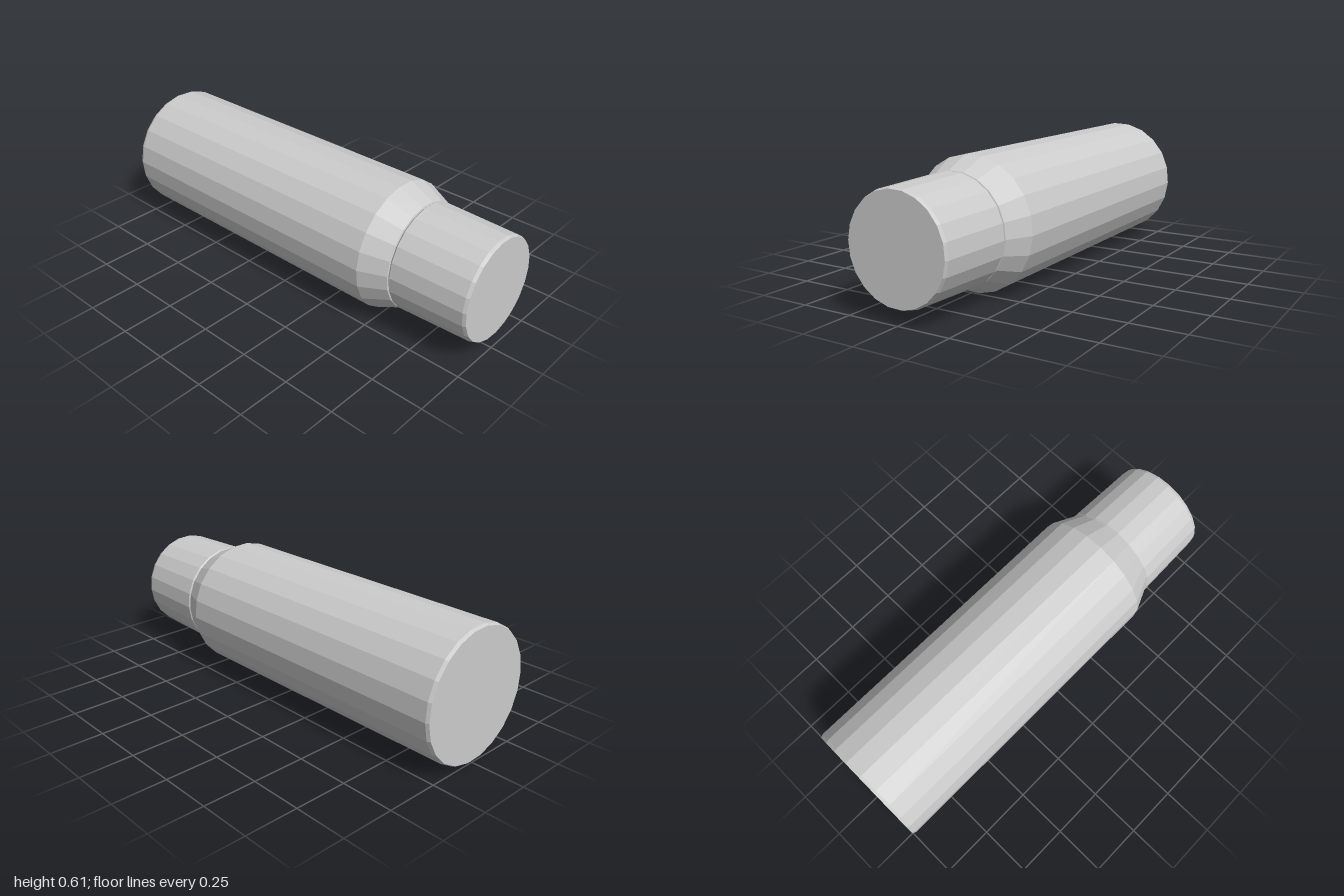
import * as THREE from 'three';

const SIDES = 22;
const AXIS_Y = 0.306;

// Faceted solid of revolution around the z axis; profile is [radius, z] from back to front
function turned(name, profile) {
  const points = profile.map(([r, z]) => new THREE.Vector2(r, z));
  const geometry = new THREE.LatheGeometry(points, SIDES, 0.1);
  geometry.rotateX(Math.PI / 2);
  const material = new THREE.MeshStandardMaterial({ color: 0xcccccc, flatShading: true });
  const mesh = new THREE.Mesh(geometry, material);
  mesh.name = name;
  mesh.position.y = AXIS_Y;
  return mesh;
}

export function createModel() {
  const group = new THREE.Group();
  group.name = 'cappedCylinder';

  // Long barrel with a tapered shoulder
  group.add(turned('body', [
    [0, -1], [0.3, -1], [0.307, -0.985], [0.307, 0.49], [0.253, 0.613], [0.24, 0.617], [0, 0.617],
  ]));

  // Slightly conical cap, set off from the shoulder by a thin seam
  group.add(turned('cap', [
    [0, 0.612], [0.242, 0.612], [0.254, 0.625], [0.244, 0.985], [0.238, 1], [0, 1],
  ]));

  return group;
}
